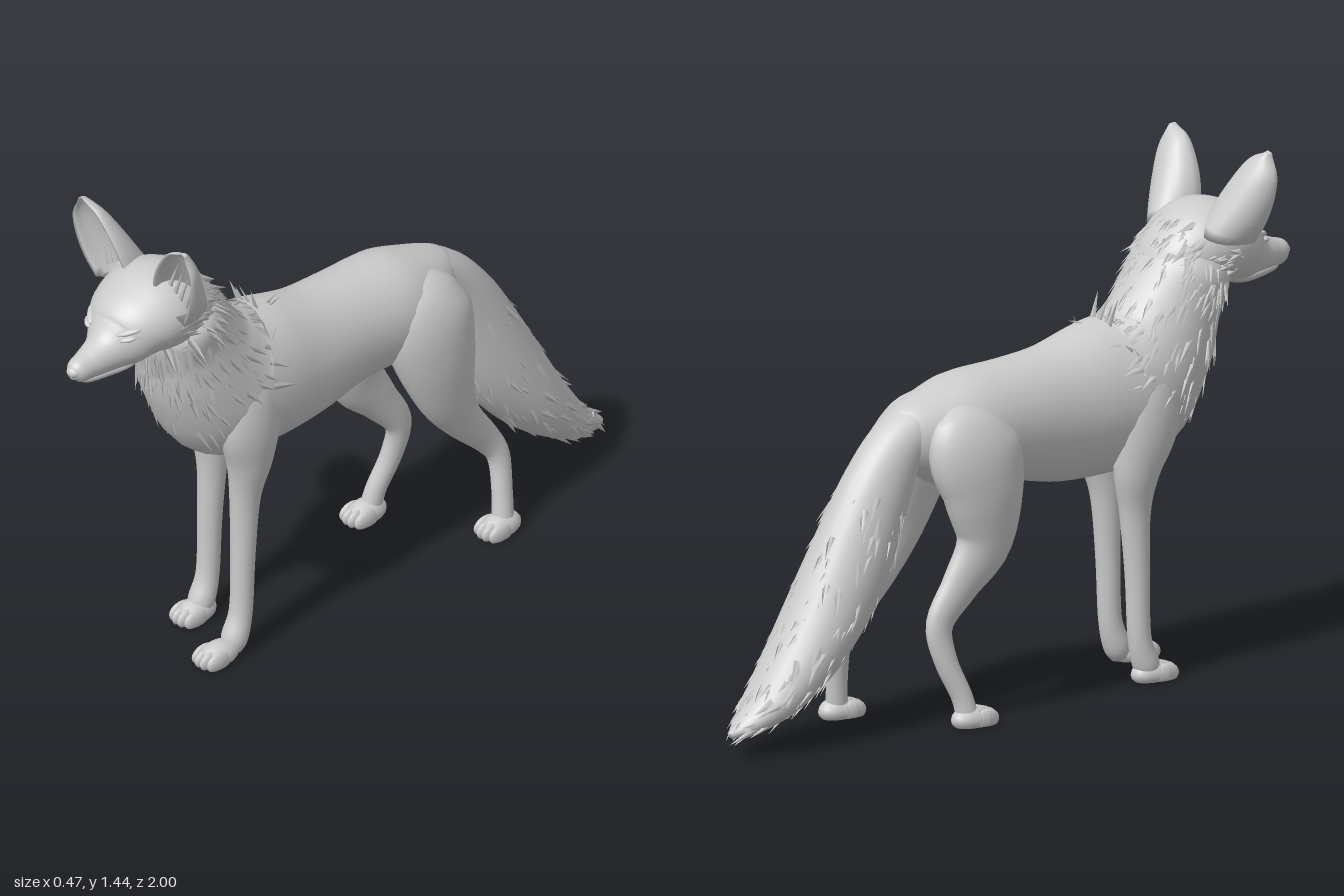
import * as THREE from 'three';
import { mergeGeometries } from 'three/addons/utils/BufferGeometryUtils.js';

const V = (x, y, z) => new THREE.Vector3(x, y, z);
const mat = new THREE.MeshStandardMaterial({ color: 0xcccccc, roughness: 0.9 });

let seed = 7;
const rand = () => (seed = (seed * 16807) % 2147483647) / 2147483647;

function add(group, geometry, name) {
  const mesh = new THREE.Mesh(geometry, mat);
  mesh.name = name;
  group.add(mesh);
  return mesh;
}

// Joins rings of points into a closed skin, with a fan at each end.
function skin(rings) {
  const n = rings[0].length, pos = [], idx = [];
  rings.forEach(r => r.forEach(p => pos.push(p.x, p.y, p.z)));
  for (let i = 0; i < rings.length - 1; i++)
    for (let j = 0; j < n; j++) {
      const a = i * n + j, b = i * n + (j + 1) % n;
      idx.push(a, b, b + n, a, b + n, a + n);
    }
  const last = (rings.length - 1) * n;
  for (let j = 1; j < n - 1; j++) idx.push(0, j + 1, j, last, last + j, last + j + 1);
  const g = new THREE.BufferGeometry();
  g.setAttribute('position', new THREE.Float32BufferAttribute(pos, 3));
  g.setIndex(idx);
  g.computeVertexNormals();
  return g;
}

// Elliptical rings along a smooth path; each station is [x, y, z, halfWidth, halfHeight].
function loftRings(stations, steps = 5, sides = 24) {
  const path = new THREE.CatmullRomCurve3(stations.map(s => V(s[0], s[1], s[2])), false, 'catmullrom', 0.5);
  const size = new THREE.CatmullRomCurve3(stations.map(s => V(s[3], s[4], 0)), false, 'catmullrom', 0.5);
  const count = (stations.length - 1) * steps, rings = [];
  for (let i = 0; i <= count; i++) {
    const c = path.getPoint(i / count), r = size.getPoint(i / count), T = path.getTangent(i / count);
    const S = V(1, 0, 0).addScaledVector(T, -T.x).normalize(), U = T.clone().cross(S);
    const ring = [];
    for (let j = 0; j < sides; j++) {
      const a = j / sides * Math.PI * 2;
      ring.push(c.clone().addScaledVector(S, Math.cos(a) * Math.max(r.x, 0.002))
        .addScaledVector(U, Math.sin(a) * Math.max(r.y, 0.002)));
    }
    ring.center = c;
    rings.push(ring);
  }
  return rings;
}

// Scatters flat locks of fur, roots sunk in, over a stretch of rings; flow is +1 or -1 along the path.
function fur(rings, from, to, count, flow, length, accept = () => true) {
  const locks = [];
  for (let k = 0; k < count; k++) {
    const i = Math.round((from + (to - from) * rand()) * (rings.length - 1)), ring = rings[i];
    const j = Math.floor(rand() * ring.length);
    const p = ring[j].clone().lerp(ring[(j + 1) % ring.length], rand());
    const size = 0.6 + 0.6 * rand(), lift = 0.1 + 0.13 * rand(), sway = 0.6 * (rand() - 0.5);
    if (!accept(p)) continue;
    const N = p.clone().sub(ring.center).normalize();
    // Follow the surface rather than the path, so locks lie flat where it tapers
    const Y = rings[Math.min(Math.max(i + flow, 0), rings.length - 1)][j].clone().sub(ring[j]).normalize();
    Y.addScaledVector(N.clone().cross(Y), sway).addScaledVector(N, lift).normalize();
    const Z = N.clone().addScaledVector(Y, -N.dot(Y)).normalize();
    const g = new THREE.ConeGeometry(0.016 * size, length * size, 4);
    g.scale(1, 1, 0.35);
    g.translate(0, length * size * 0.4, 0);
    g.applyMatrix4(new THREE.Matrix4().makeBasis(Y.clone().cross(Z), Y, Z).setPosition(p.addScaledVector(N, -0.007)));
    locks.push(g);
  }
  return mergeGeometries(locks);
}

// Cupped ear: a thick curved shell opening forward, tapering to a rounded tip.
function earGeometry(s) {
  const rings = [];
  const axis = new THREE.CatmullRomCurve3([V(0.112, 1.21, 0.7), V(0.146, 1.295, 0.722), V(0.178, 1.375, 0.738), V(0.202, 1.44, 0.748)]);
  const width = new THREE.SplineCurve([0.068, 0.076, 0.075, 0.066, 0.048, 0.008].map((w, i) => new THREE.Vector2(i, w)));
  for (let i = 0; i <= 18; i++) {
    const u = 1 - (1 - i / 18) ** 1.6, c = axis.getPoint(u), w = width.getPoint(u).y;
    const depth = 0.012 + 0.1 * (1 - u) ** 0.8, ring = [];
    const arc = (k, wide, deep) => {
      const v = (0.55 - 1.1 * k / 12) * Math.PI, across = Math.sin(v) * wide;
      ring.push(V(s * (c.x + across * 0.93), c.y - across * 0.37, c.z - Math.cos(v) * deep));
    };
    for (let k = 0; k <= 12; k++) arc(k, w, depth);
    for (let k = 12; k >= 0; k--) arc(k, w * 0.87, depth * 0.8);
    rings.push(s > 0 ? ring : ring.reverse());
  }
  return skin(rings);
}

// Paw: a flat-soled pad with four toes.
function paw(group, x, z, name) {
  const parts = [];
  const blob = (px, py, pz, rx, ry, rz) => {
    const g = new THREE.SphereGeometry(1, 16, 10).scale(rx, ry, rz).translate(px, py, pz);
    const p = g.attributes.position;
    for (let i = 0; i < p.count; i++) p.setY(i, Math.max(0, p.getY(i)));
    g.computeVertexNormals();
    parts.push(g);
  };
  blob(x, 0.02, z, 0.042, 0.037, 0.064);
  for (let i = 0; i < 4; i++) {
    const o = i - 1.5;
    blob(x + o * 0.02, 0.018, z + 0.04 - Math.abs(o) * 0.008, 0.015, 0.029, 0.044);
  }
  add(group, mergeGeometries(parts), name);
}

export function createModel() {
  const model = new THREE.Group();
  model.name = 'fox';

  // Torso and neck in one sweep from rump to nape
  const body = loftRings([
    [0, 0.79, -0.435, 0.01, 0.01], [0, 0.79, -0.41, 0.06, 0.075], [0, 0.793, -0.33, 0.108, 0.115],
    [0, 0.785, -0.2, 0.148, 0.16], [0, 0.785, -0.02, 0.145, 0.168], [0.005, 0.775, 0.15, 0.15, 0.195],
    [0.005, 0.79, 0.3, 0.162, 0.215], [0, 0.812, 0.41, 0.166, 0.217], [0, 0.905, 0.5, 0.156, 0.182],
    [0, 1.02, 0.56, 0.146, 0.147], [0, 1.12, 0.615, 0.15, 0.12], [0, 1.18, 0.66, 0.06, 0.06]]);
  add(model, skin(body), 'torsoAndNeck');
  add(model, fur(body, 0.64, 0.93, 400, -1, 0.095, p => p.y > 0.74), 'neckRuff');

  // Head with tapering muzzle
  const head = new THREE.Group();
  head.name = 'head';
  model.add(head);
  const skull = loftRings([
    [0, 1.09, 0.5, 0.07, 0.05], [0, 1.135, 0.57, 0.125, 0.092], [0, 1.163, 0.66, 0.148, 0.124],
    [0.003, 1.15, 0.745, 0.138, 0.108], [0.006, 1.115, 0.81, 0.1, 0.086], [0.01, 1.095, 0.865, 0.06, 0.06],
    [0.013, 1.085, 0.925, 0.042, 0.043], [0.016, 1.08, 0.97, 0.031, 0.034], [0.017, 1.075, 0.99, 0.012, 0.014]], 8, 40);
  add(head, skin(skull), 'skull');
  add(head, skin(loftRings([
    [0.002, 1.065, 0.74, 0.05, 0.02], [0.006, 1.047, 0.8, 0.052, 0.022], [0.01, 1.044, 0.87, 0.037, 0.02],
    [0.015, 1.048, 0.935, 0.024, 0.015], [0.016, 1.053, 0.957, 0.008, 0.008]])), 'lowerJaw');
  add(head, new THREE.SphereGeometry(1, 16, 12).scale(0.02, 0.016, 0.018).translate(0.017, 1.084, 0.981), 'nose');
  add(head, fur(skull, 0.12, 0.36, 420, -1, 0.08, p => p.z < 0.6 || (p.y < 1.17 && Math.abs(p.x) > 0.06)), 'cheekFur');

  // Point on the front of the face nearest to a given x and y
  const face = skull.flat().filter(p => p.z > 0.76);
  const onFace = (x, y) => face.reduce((a, b) => Math.hypot(b.x - x, b.y - y) < Math.hypot(a.x - x, a.y - y) ? b : a);

  for (const s of [1, -1]) {
    const side = s > 0 ? 'left' : 'right';
    add(head, earGeometry(s), side + 'Ear');

    // Long hairs inside the ear
    const hairs = [];
    for (let i = 0; i < 4; i++)
      hairs.push(new THREE.ConeGeometry(0.008, 0.1, 4).scale(1, 1, 0.4).rotateZ(-s * 0.38)
        .translate(s * (0.108 + i * 0.02), 1.315 - i * 0.014, 0.69));
    add(head, mergeGeometries(hairs), side + 'EarHair');

    // Eye under a slanted brow
    const eye = add(head, new THREE.SphereGeometry(1, 16, 10), side + 'Eye');
    eye.scale.set(0.024, 0.008, 0.012);
    eye.position.copy(onFace(s * 0.07 + 0.006, 1.153));
    eye.rotation.set(0, s * 0.8, s * 0.2);
    const brow = add(head, new THREE.SphereGeometry(1, 16, 10), side + 'Brow');
    brow.scale.set(0.036, 0.008, 0.011);
    brow.position.copy(onFace(s * 0.068 + 0.006, 1.174));
    brow.rotation.set(0, s * 0.8, s * 0.3);

    // Front leg; the right one stands a little further back
    const back = s > 0 ? 0 : 0.065;
    const front = [
      [0.07, 0.92, 0.4, 0.02, 0.03], [0.098, 0.85, 0.41, 0.06, 0.085], [0.112, 0.72, 0.415, 0.064, 0.1],
      [0.108, 0.6, 0.412, 0.055, 0.072], [0.1, 0.48, 0.422, 0.04, 0.046], [0.1, 0.3, 0.43, 0.034, 0.035],
      [0.1, 0.13, 0.437, 0.032, 0.033], [0.1, 0.05, 0.46, 0.037, 0.038], [0.1, 0.015, 0.475, 0.028, 0.028]
    ].map(([x, y, z, w, h]) => [s * x, y, z - back * THREE.MathUtils.clamp((0.85 - y) / 0.3, 0, 1), w, h]);
    add(model, skin(loftRings(front)), side + 'FrontLeg');
    paw(model, s * 0.1, 0.518 - back * 1.6, side + 'FrontPaw');

    // Hind leg: thigh, hock and shank; the left one is set back
    const hind = s > 0 ? [
      [0.04, 0.9, -0.25, 0.01, 0.02], [0.075, 0.84, -0.25, 0.06, 0.11], [0.103, 0.76, -0.25, 0.08, 0.148],
      [0.12, 0.64, -0.27, 0.073, 0.13],
      [0.126, 0.51, -0.305, 0.053, 0.094], [0.118, 0.4, -0.365, 0.038, 0.06], [0.112, 0.29, -0.46, 0.029, 0.042],
      [0.12, 0.22, -0.5, 0.028, 0.034], [0.138, 0.11, -0.497, 0.028, 0.03], [0.148, 0.03, -0.49, 0.03, 0.032]
    ] : [
      [-0.04, 0.9, -0.21, 0.01, 0.02], [-0.075, 0.84, -0.215, 0.06, 0.11], [-0.108, 0.76, -0.22, 0.08, 0.148],
      [-0.124, 0.64, -0.2, 0.073, 0.13],
      [-0.126, 0.5, -0.2, 0.053, 0.092], [-0.118, 0.39, -0.275, 0.038, 0.06], [-0.112, 0.29, -0.345, 0.029, 0.043],
      [-0.124, 0.19, -0.335, 0.028, 0.034], [-0.142, 0.09, -0.295, 0.028, 0.03], [-0.15, 0.03, -0.28, 0.03, 0.032]];
    add(model, skin(loftRings(hind)), side + 'HindLeg');
    paw(model, s * 0.15, s > 0 ? -0.482 : -0.265, side + 'HindPaw');
  }

  // Bushy tail growing out of the back and sweeping down behind
  const tail = loftRings([
    [0, 0.87, -0.18, 0.05, 0.04], [0, 0.85, -0.29, 0.082, 0.066], [0, 0.775, -0.405, 0.08, 0.082],
    [0, 0.65, -0.485, 0.09, 0.108],
    [0, 0.45, -0.59, 0.108, 0.122], [0, 0.28, -0.71, 0.112, 0.102], [0, 0.162, -0.825, 0.094, 0.07],
    [0, 0.1, -0.915, 0.06, 0.038], [0, 0.065, -0.99, 0.012, 0.01]]);
  add(model, skin(tail), 'tail');
  add(model, fur(tail, 0.36, 0.9, 220, 1, 0.09), 'tailFur');

  return model;
}
